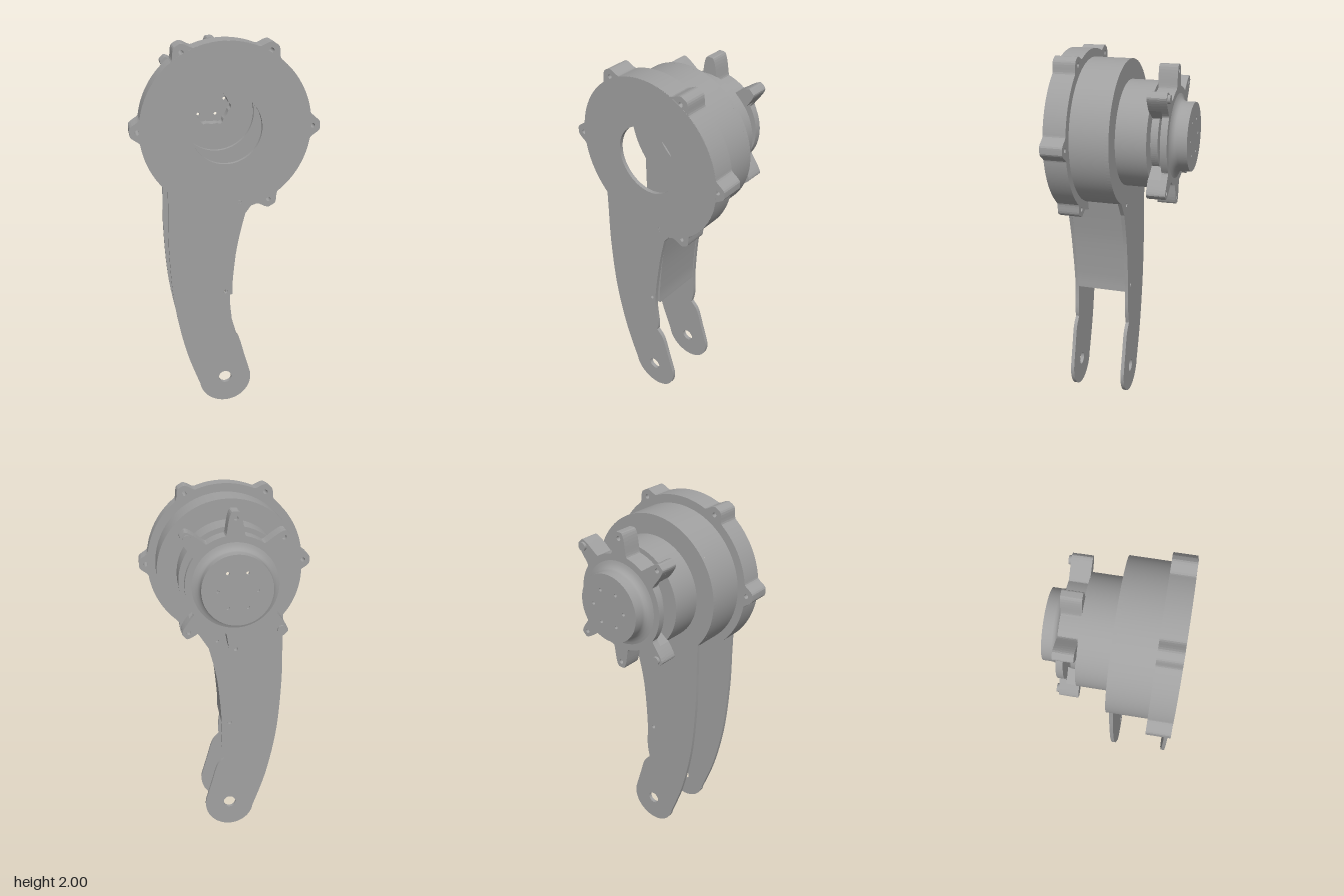
import * as THREE from 'three';

const CY = 1.57; // height of the main axis
const rad = THREE.MathUtils.degToRad;

export function createModel() {
  const model = new THREE.Group();
  const grey = new THREE.MeshStandardMaterial({ color: 0xa0a0a0 });
  grey.name = 'machined grey';

  const add = (name, geometry) => {
    const mesh = new THREE.Mesh(geometry, grey);
    mesh.name = name;
    model.add(mesh);
    return mesh;
  };
  // Extrude a shape between two z values
  const slab = (name, shape, z0, z1) => {
    const g = new THREE.ExtrudeGeometry(shape, { depth: z1 - z0, bevelEnabled: false, curveSegments: 48 });
    return add(name, g.translate(0, 0, z0));
  };
  const hole = (shape, x, y, r) => {
    shape.holes.push(new THREE.Path().absarc(x, y, r, 0, Math.PI * 2, true));
  };
  // Cylinder along z
  const tube = (name, r, z0, z1, open, x = 0, y = CY, sides = 96) => {
    const g = new THREE.CylinderGeometry(r, r, z1 - z0, sides, 1, open);
    return add(name, g.rotateX(Math.PI / 2).translate(x, y, (z0 + z1) / 2));
  };
  const polar = (r, a) => new THREE.Vector2(r * Math.cos(a), CY + r * Math.sin(a));

  // Circle with smooth lugs standing out at the given angles
  const lugArc = (R, h, w, angles, from, to, n) => {
    const pts = [];
    for (let i = 0; i < n; i++) {
      const a = rad(from + (to - from) * i / (n - 1));
      let r = R;
      for (const deg of angles) {
        const d = Math.abs(Math.atan2(Math.sin(a - rad(deg)), Math.cos(a - rad(deg))));
        r = Math.max(r, R + h * THREE.MathUtils.smoothstep(w - d, 0, w * 0.8));
      }
      pts.push(polar(r, a));
    }
    return pts;
  };

  // Side plate: round head running into a curved leg with a pivot eye
  const plate = (R, rightX, rightEdge) => {
    const at = x => Math.atan2(-Math.sqrt(R * R - x * x), x);
    const a0 = at(rightX), a1 = at(-0.295) + Math.PI * 2;
    const start = polar(R, a1), end = polar(R, a0);
    const v = p => new THREE.Vector2(...p);
    const s = new THREE.Shape();
    s.moveTo(start.x, start.y);
    s.lineTo(-0.295, 1.15);
    s.splineThru([[-0.295, 0.92], [-0.272, 0.62], [-0.215, 0.34], [-0.136, 0.108]].map(v));
    s.absarc(0, 0.142, 0.142, Math.PI * 1.08, Math.PI * 2.08, false);
    s.splineThru([[0.105, 0.29], [0.072, 0.4], [0.03, 0.45]].map(v));
    s.splineThru(rightEdge.map(v));
    s.lineTo(end.x, end.y);
    s.absarc(0, CY, R, a0, a1, false);
    hole(s, 0, 0.15, 0.035);
    hole(s, 0, 0.68, 0.011);
    hole(s, 0.07, 1.185, 0.011);
    return s;
  };

  const front = plate(0.428, 0.13, [[0.035, 0.5], [0.024, 0.68], [0.062, 0.95], [0.1, 1.12]]);
  hole(front, 0, CY, 0.18);
  slab('frontLegPlate', front, 0.315, 0.335);

  const back = plate(0.385, 0.17, [[0.046, 0.54], [0.046, 0.7], [0.07, 0.95], [0.115, 1.14]]);
  hole(back, 0, CY, 0.2);
  slab('backLegPlate', back, 0.01, 0.03);

  // Lugged rim of the front housing
  const rimLugs = [0, 60, 120, 180, 300];
  const rim = new THREE.Shape(lugArc(0.429, 0.046, 0.15, rimLugs, 0, 359, 360));
  hole(rim, 0, CY, 0.384);
  for (const a of rimLugs) {
    const p = polar(0.437, rad(a));
    hole(rim, p.x, p.y, 0.012);
  }
  slab('housingRim', rim, 0.215, 0.334);

  // Drum between the side plates
  tube('drum', 0.385, 0.03, 0.215, true);

  // Web joining the legs along one edge
  const web = new THREE.Shape();
  web.moveTo(0.115, 1.21);
  web.splineThru([[0.068, 0.97], [0.043, 0.75], [0.04, 0.65]].map(p => new THREE.Vector2(...p)));
  web.lineTo(0.005, 0.65);
  web.splineThru([[0.005, 0.75], [0.03, 0.97], [0.075, 1.21]].map(p => new THREE.Vector2(...p)));
  slab('legWeb', web, 0.03, 0.315);

  // Motor body and its inner ring
  tube('motorBody', 0.28, -0.15, 0.01, true);
  const ring = (name, outer, inner, z0, z1) => {
    const s = new THREE.Shape().absarc(0, CY, outer, 0, Math.PI * 2, false);
    hole(s, 0, CY, inner);
    slab(name, s, z0, z1);
  };
  ring('motorEndRing', 0.28, 0.19, -0.152, -0.14);
  const stator = new THREE.Shape().absarc(0, CY, 0.2, 0, Math.PI * 2, false);
  stator.holes.push(new THREE.Path(lugArc(0.095, 0.012, 0.25, [0, 60, 120, 180, 240, 300], 359, 0, 120)));
  slab('statorRing', stator, -0.19, -0.13);

  // Lugged rear cover, open at both sides
  const coverLugs = [45, 90, 135, 225, 270, 315];
  const cover = new THREE.Shape(lugArc(0.255, 0.115, 0.2, coverLugs, 0, 359, 360));
  hole(cover, 0, CY, 0.17);
  for (const a of coverLugs) {
    const p = polar(0.338, rad(a));
    hole(cover, p.x, p.y, 0.012);
  }
  slab('rearCover', cover, -0.25, -0.215);
  for (const [name, mid] of [['upperCoverWall', 90], ['lowerCoverWall', 270]]) {
    const outer = lugArc(0.255, 0.115, 0.2, coverLugs, mid - 53, mid + 53, 120);
    const inner = lugArc(0.205, 0, 1, [], mid + 53, mid - 53, 40);
    slab(name, new THREE.Shape([...outer, ...inner]), -0.215, -0.15);
  }
  for (const a of [45, 225]) {
    const p = polar(0.338, rad(a));
    tube('coverBolt', 0.022, -0.264, -0.25, false, p.x, p.y, 16);
  }

  // Flared neck and drilled output face
  const neck = [[0.18, -0.335], [0.18, -0.285], [0.184, -0.272], [0.193, -0.261], [0.208, -0.253], [0.225, -0.249]];
  add('outputNeck', new THREE.LatheGeometry(neck.map(p => new THREE.Vector2(...p)), 96)
    .rotateX(Math.PI / 2).translate(0, CY, 0));
  const face = new THREE.Shape().absarc(0, CY, 0.18, 0, Math.PI * 2, false);
  for (let i = 0; i < 6; i++) {
    const p = polar(0.1, i * Math.PI / 3);
    hole(face, p.x, p.y, 0.009);
  }
  slab('outputFace', face, -0.335, -0.32);

  return model;
}
